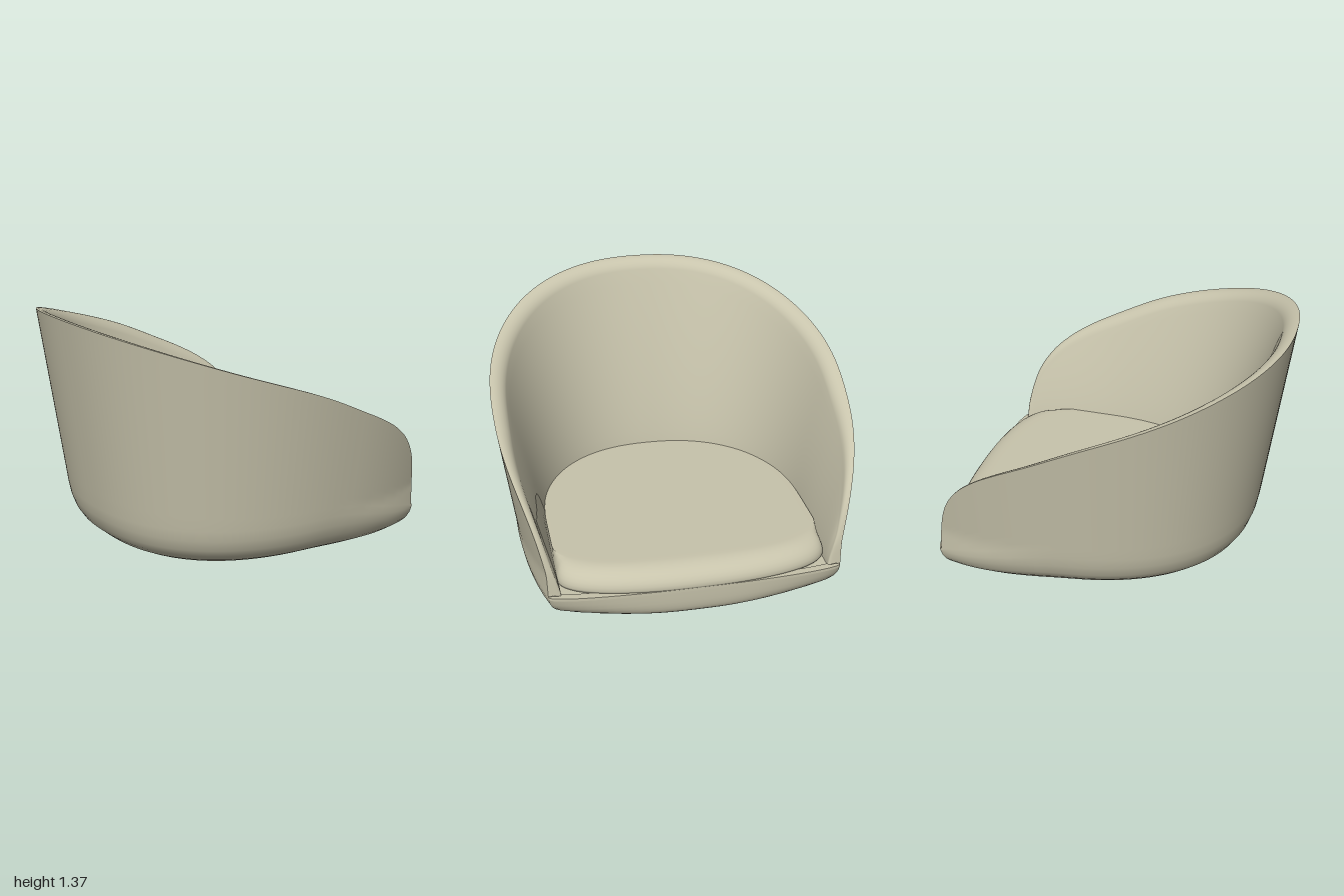
import * as THREE from 'three';

const { lerp, smoothstep } = THREE.MathUtils;
const DECK = 0.16, HOLE = 0.405, HOLE_Z = -0.06;

// Skin a stack of closed rings of [x, y, z] points
function loft(rings) {
  const n = rings[0].length, index = [];
  for (let i = 0; i < rings.length - 1; i++) {
    for (let j = 0; j < n; j++) {
      const k = (j + 1) % n;
      const a = i * n + j, b = i * n + k, c = a + n, d = b + n;
      index.push(a, c, b, b, c, d);
    }
  }
  const g = new THREE.BufferGeometry();
  g.setAttribute('position', new THREE.Float32BufferAttribute(rings.flat(2), 3));
  g.setIndex(index);
  g.computeVertexNormals();
  return g;
}

// Quarter superellipse point
const arc = (a, b, n, t) => [a * Math.cos(t) ** (2 / n), b * Math.sin(t) ** (2 / n)];

// Mirror a half outline running from front centre to back centre
const mirrorLoop = (half, flip) => [...half, ...half.slice(1, -1).reverse().map(flip)];

// Height of the rim along z: steep arm front, then a straight slope to the back
const rimCurve = new THREE.CatmullRomCurve3([
  [-0.87, 0.17], [-0.855, 0.32], [-0.8, 0.5], [-0.71, 0.63], [-0.6, 0.725], [-0.47, 0.805],
  [-0.3, 0.89], [0, 1.03], [0.5, 1.21], [0.96, 1.375],
].map(([z, y]) => new THREE.Vector3(0, y, z))).getPoints(160);

function rimHeight(z) {
  const i = rimCurve.findIndex((p) => p.z >= z);
  if (i === 0) return rimCurve[0].y;
  if (i < 0) return rimCurve[rimCurve.length - 1].y;
  const a = rimCurve[i - 1], b = rimCurve[i];
  return lerp(a.y, b.y, (z - a.z) / (b.z - a.z));
}

// Columns round the shell: outer plan o, floor plan f, outward normal n,
// rim height h, underside rounding k
function shellColumns() {
  const half = [];
  for (let i = 0; i < 24; i++) {
    const [x, z] = arc(0.805, 0.07, 2.1, (1 - i / 24) * Math.PI / 2);
    const k = lerp(0.08, 0.8, (x / 0.805) ** 3);
    half.push({ o: [x, -0.87 - z], f: [x * 0.913, -0.87], n: [0, -1], h: 0.168, k });
  }
  for (let i = 0; i < 32; i++) {
    const s = (i / 32) ** 2, z = -0.87 + 0.58 * s;
    const x = 0.91 - 0.105 * (1 - s) ** 2;
    half.push({ o: [x, z], f: [0.735, lerp(-0.87, -0.3, s)], n: [1, 0] });
  }
  for (let i = 0; i <= 44; i++) {
    const t = Math.min(i / 44 * Math.PI / 2, Math.PI / 2 - 1e-9);
    const [x, z] = arc(0.91, 1.09, 2.28, t), [fx, fz] = arc(0.735, 0.865, 2.25, t);
    const e = 2 - 2 / 2.28, nx = Math.cos(t) ** e / 0.91, nz = Math.sin(t) ** e / 1.09;
    const l = Math.hypot(nx, nz);
    half.push({ o: [x, z - 0.29], f: [fx, fz - 0.3], n: [nx / l, nz / l] });
  }
  for (const c of half) {
    c.w = smoothstep(c.o[1], -0.95, -0.1);
    c.y0 = lerp(0.15, 0.3, c.w);
    if (c.h) continue;
    c.k = lerp(0.8, 1, c.w);
    c.h = 0.9;
    for (let i = 0; i < 8; i++) c.h = rimHeight(wall(c, c.h)[2]);
  }
  const flip = (c) => ({ ...c, o: [-c.o[0], c.o[1]], f: [-c.f[0], c.f[1]], n: [-c.n[0], c.n[1]] });
  return mirrorLoop(half, flip);
}

// Outer wall point at height y, leaning outwards; inset moves it inwards
function wall({ o, n }, y, inset = 0) {
  const d = 0.14 * Math.max(0, y - 0.3) - inset;
  return [o[0] + n[0] * d, y, o[1] + n[1] * d];
}

// Point on the socket circle below a column
function socket({ o }, y) {
  const l = Math.hypot(...o);
  return [o[0] / l * HOLE, y, o[1] / l * HOLE + HOLE_Z];
}

export function createModel() {
  const group = new THREE.Group();
  const material = new THREE.MeshStandardMaterial({ color: 0xc8c4ac });
  const add = (name, rings) => {
    const mesh = new THREE.Mesh(loft(rings), material);
    mesh.name = name;
    group.add(mesh);
  };
  const cols = shellColumns();
  const ring = (fn) => cols.map(fn);

  // Outer shell: rounded underside, then the leaning wall up to the rim
  const outer = [ring((c) => socket(c, 0))];
  for (const [d, y] of [[0.39, 0.03], [0.3, 0.08], [0.23, 0.13], [0.165, 0.2], [0.11, 0.3],
    [0.065, 0.43], [0.035, 0.58], [0.012, 0.79]]) {
    outer.push(ring((c) => {
      const s = 1 - d * c.k / Math.hypot(...c.o);
      return [c.o[0] * s, y * c.y0, c.o[1] * s];
    }));
  }
  for (let i = 0; i <= 12; i++) outer.push(ring((c) => wall(c, lerp(c.y0, c.h, i / 12))));
  add('outerShell', outer);

  // Inner shell: rolled rim flowing into the inner wall, upright at the deck
  const inner = [];
  const roll = (c, a) => {
    const drop = Math.min(0.1, 0.4 * (c.h - DECK));
    const p = wall(c, c.h, lerp(0.05, 0.095, c.w) * Math.sin(a));
    p[1] -= drop * (1 - Math.cos(a));
    return p;
  };
  const rollEnd = 1.2;
  for (let i = 0; i <= 6; i++) inner.push(ring((c) => roll(c, i / 6 * rollEnd)));
  for (let i = 1; i <= 14; i++) {
    inner.push(ring((c) => {
      const top = roll(c, rollEnd), t = i / 14, f = (1 - t) ** 1.3;
      return [lerp(c.f[0], top[0], f), lerp(top[1], DECK, t), lerp(c.f[1], top[2], f)];
    }));
  }
  add('innerShell', inner);
  add('deck', [inner[inner.length - 1], ring(() => [0, DECK, -0.1])]);

  // Round recess in the underside
  add('socketWall', [ring((c) => socket(c, 0.07)), ring((c) => socket(c, 0))]);
  add('socketCeiling', [ring(() => [0, 0.07, HOLE_Z]), ring((c) => socket(c, 0.07))]);

  // Seat cushion with a rolled front edge and a top falling gently to the back
  const half = [];
  for (let i = 0; i < 28; i++) {
    const [x, z] = arc(0.745, 0.225, 2.3, (1 - i / 28) * Math.PI / 2);
    half.push([x, -0.72 - z]);
  }
  for (let i = 0; i < 10; i++) half.push([0.745, lerp(-0.72, -0.3, i / 10)]);
  for (let i = 0; i <= 36; i++) {
    const [x, z] = arc(0.745, 0.885, 2.3, Math.min(i / 36 * Math.PI / 2, Math.PI / 2 - 1e-9));
    half.push([x, z - 0.3]);
  }
  const outline = mirrorLoop(half, ([x, z]) => [-x, z]);
  const topY = (z) => 0.282 - 0.027 * Math.max(0, z + 0.8);
  const level = (inset, f) => outline.map(([x, z]) => {
    const k = 1 - inset * (1 - smoothstep(z, -0.85, -0.55)) / Math.hypot(x, z);
    return [x * k, lerp(0.18, topY(z * k), f), z * k];
  });
  const cushion = [level(0.02, -0.3), level(0.004, -0.1)];
  for (let i = 0; i <= 8; i++) {
    const a = i / 8 * Math.PI / 2;
    cushion.push(level(0.14 * (1 - Math.cos(a)), Math.sin(a)));
  }
  const edge = cushion[cushion.length - 1];
  for (const k of [0.95, 0.6, 0]) {
    cushion.push(edge.map(([x, , z]) => {
      const pz = (z + 0.1) * k - 0.1;
      return [x * k, topY(pz), pz];
    }));
  }
  add('seatCushion', cushion);

  return group;
}
